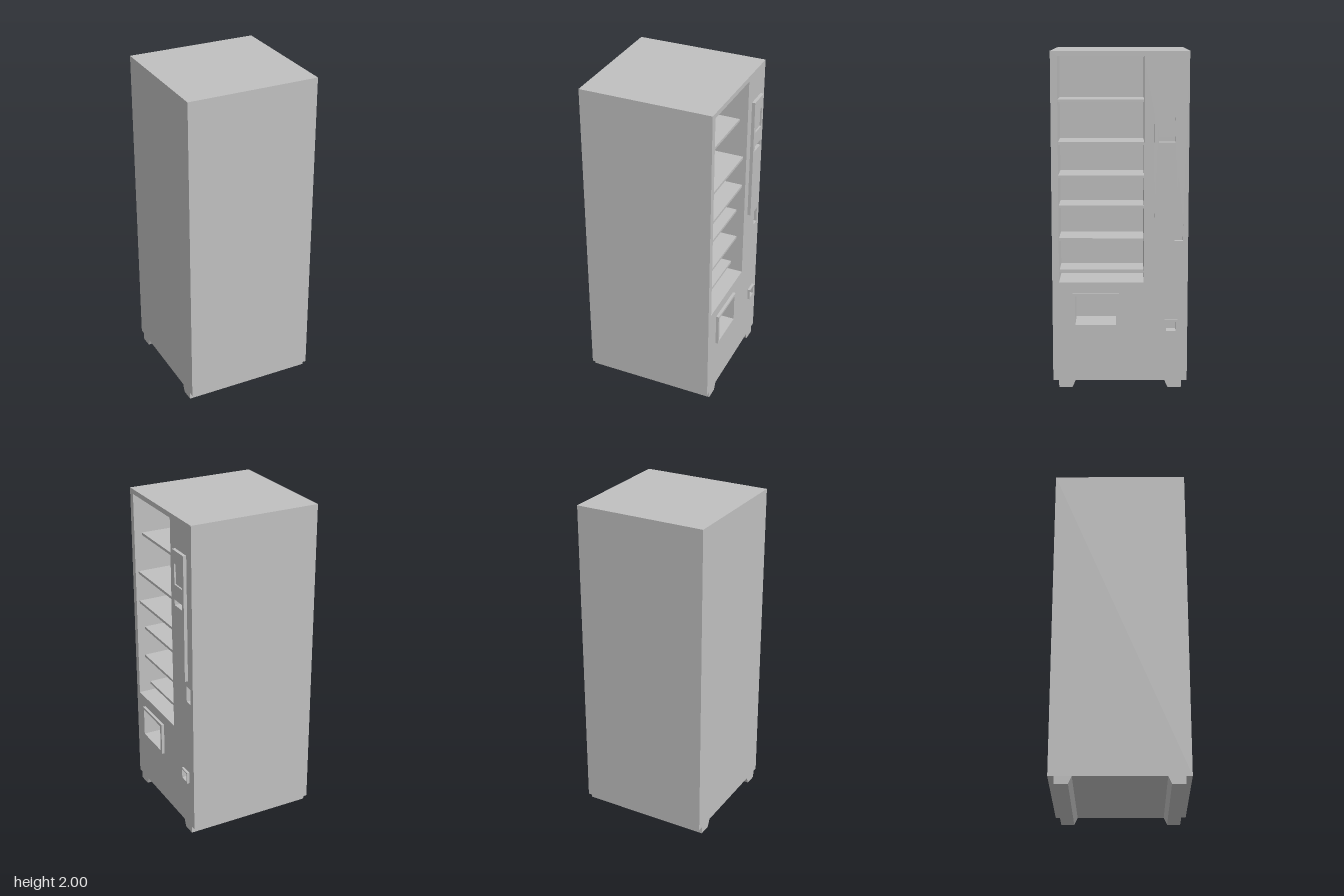
import * as THREE from 'three';

// Cabinet front faces +x. Profiles are drawn as seen from the front: u = -z, y up.
const BACK = -0.415, FRONT = 0.395;

// openings and outlines as [u0, u1, y0, y1]
const CABINET = [-0.4, 0.4, 0.045, 2];
const WINDOW = [-0.36, 0.14, 0.645, 1.97];
const BIN = [-0.265, -0.025, 0.39, 0.565];
const HANDLE = [0.32, 0.37, 0.895, 0.995];
const COIN = [0.273, 0.33, 0.355, 0.41];
const SCREEN = [0.225, 0.32, 1.605, 1.73];
const SLOT = [0.225, 0.32, 1.478, 1.512];
const PANEL = [0.2, 0.34, 1.038, 1.81];

const corners = ([u0, u1, y0, y1]) => [[u0, y0], [u1, y0], [u1, y1], [u0, y1]];
const toPoints = (pts) => pts.map(([u, y]) => new THREE.Vector2(u, y));

export function createModel() {
  const group = new THREE.Group();
  const grey = new THREE.MeshStandardMaterial({ color: 0xc0c0c0 });
  grey.name = 'grey metal';

  // extrude an outline with rectangular holes from x0 to x1
  function slab(name, outline, holes, x0, x1) {
    const shape = new THREE.Shape(toPoints(outline));
    for (const h of holes) shape.holes.push(new THREE.Path(toPoints(corners(h).reverse())));
    const geo = new THREE.ExtrudeGeometry(shape, { depth: x1 - x0, bevelEnabled: false });
    geo.rotateY(Math.PI / 2);
    geo.translate(x0, 0, 0);
    const mesh = new THREE.Mesh(geo, grey);
    mesh.name = name;
    group.add(mesh);
  }

  // cabinet in layers, each recess ending at its own depth
  const cab = corners(CABINET);
  slab('cabinetFront', cab, [WINDOW, BIN, HANDLE, COIN, SLOT], FRONT - 0.04, FRONT);
  slab('cabinetBinLayer', cab, [WINDOW, BIN], FRONT - 0.18, FRONT - 0.04);
  slab('cabinetWindowLayer', cab, [WINDOW], FRONT - 0.25, FRONT - 0.18);
  slab('cabinetBack', cab, [], BACK, FRONT - 0.25);

  // shelves: [underside height, set-back from the front]
  const shelves = [[1.705, 0.05], [1.46, 0.02], [1.265, 0.02], [1.082, 0.05], [0.887, 0.045], [0.69, 0.075]];
  for (const [y, back] of shelves) {
    slab('shelf', corners([WINDOW[0], WINDOW[1], y, y + 0.016]), [], FRONT - 0.25, FRONT - back);
  }

  // control panel with screen recess and note slot
  slab('panelBase', corners(PANEL), [SLOT], FRONT, FRONT + 0.01);
  slab('panelFace', corners(PANEL), [SCREEN, SLOT], FRONT + 0.01, FRONT + 0.02);

  // raised frames around the delivery bin and coin return
  slab('binFrame', corners([-0.28, -0.005, 0.375, 0.58]), [BIN], FRONT, FRONT + 0.018);
  slab('coinReturnFrame', corners([0.265, 0.34, 0.345, 0.42]), [COIN], FRONT, FRONT + 0.015);

  // foot rails running front to back
  const foot = [[-0.365, 0], [-0.285, 0], [-0.265, 0.045], [-0.365, 0.045]];
  slab('footRail', foot, [], BACK, FRONT);
  slab('footRail', foot.map(([u, y]) => [-u, y]).reverse(), [], BACK, FRONT);

  return group;
}
